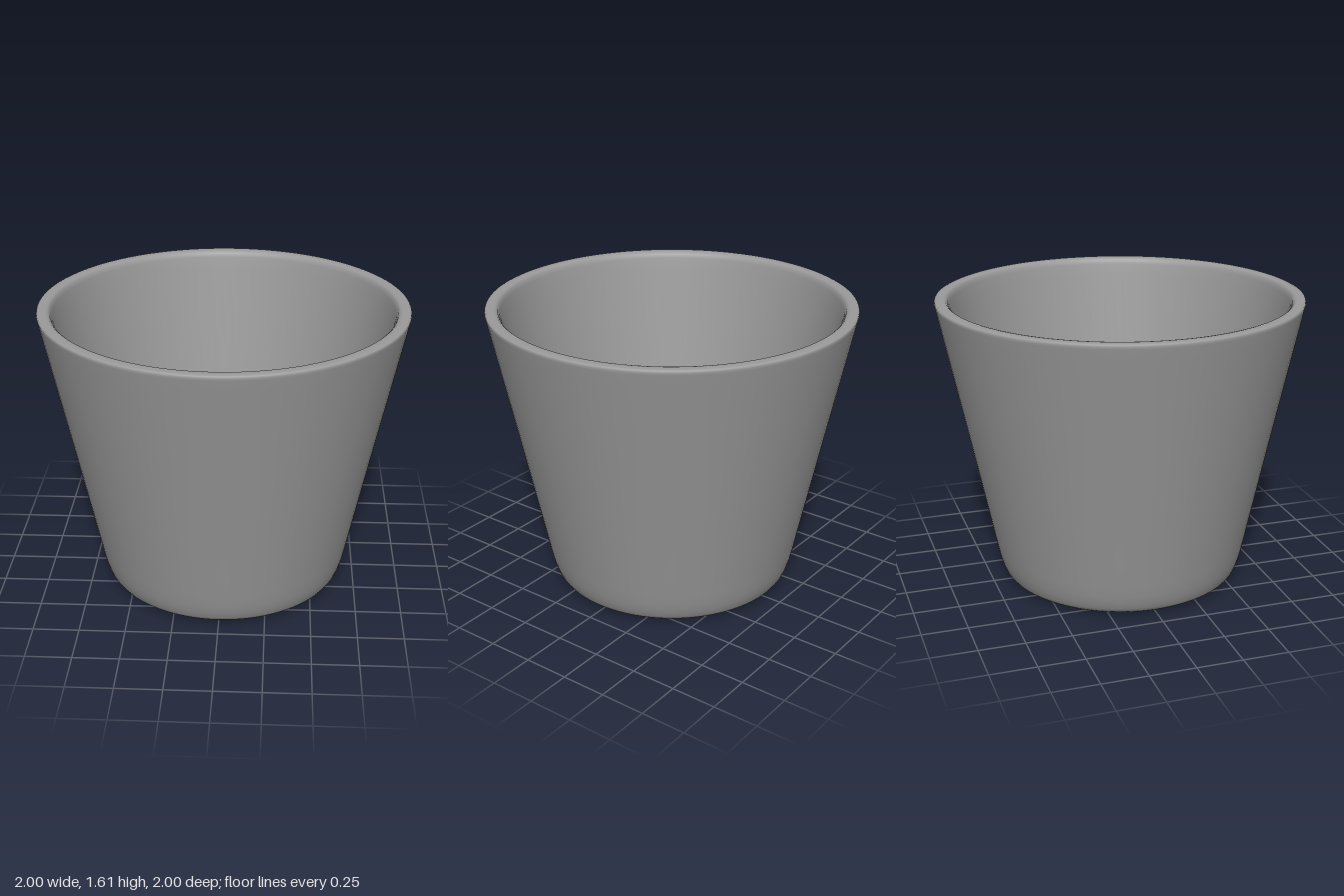
import * as THREE from 'three';

export function createModel() {
  const group = new THREE.Group();
  group.name = 'cup';
  const material = new THREE.MeshStandardMaterial({ color: 0x9a9a9a });

  // Closed wall section: underside, outer wall, rim, inner wall, floor
  const profile = [
    [0, 0], [0.42, 0], [0.55, 0.005], [0.61, 0.012], [0.645, 0.02], [0.66, 0.032], [0.673, 0.052],
    [0.687, 0.09], [0.7, 0.135], [0.714, 0.2], [0.74, 0.33],
    [0.85, 0.87], [0.985, 1.52], [0.998, 1.585], [1, 1.597], [0.997, 1.606], [0.985, 1.61],
    [0.955, 1.61], [0.94, 1.607], [0.929, 1.597], [0.922, 1.575], [0.911, 1.52],
    [0.78, 0.87], [0.67, 0.34], [0.648, 0.23], [0.635, 0.17],
    [0.62, 0.125], [0.605, 0.1], [0.58, 0.088], [0.53, 0.082], [0.35, 0.077], [0, 0.075],
  ].map(([r, y]) => new THREE.Vector2(r, y));

  const body = new THREE.Mesh(new THREE.LatheGeometry(profile, 96), material);
  body.name = 'cupBody';
  group.add(body);
  return group;
}
